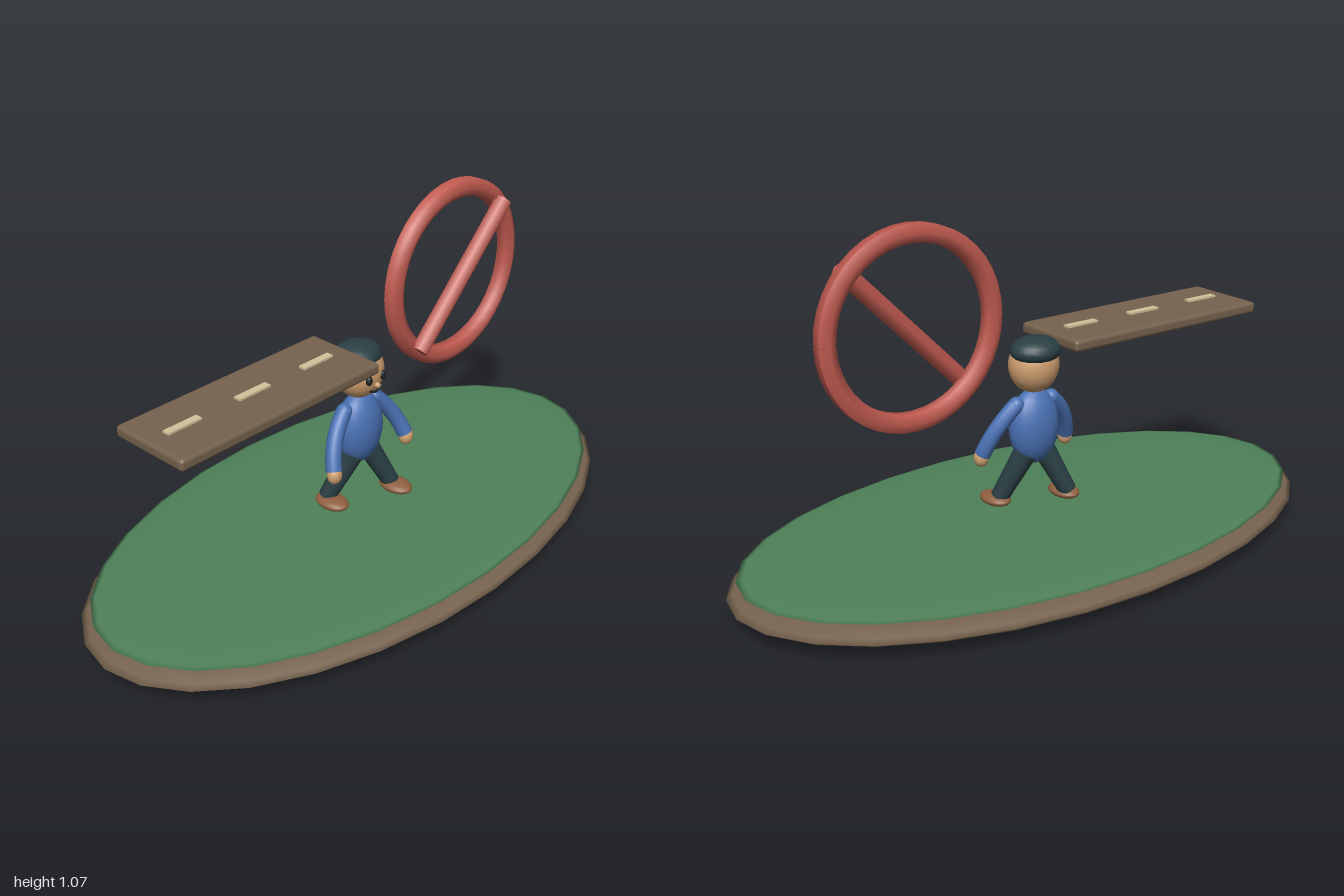
import * as THREE from 'three';
import { RoundedBoxGeometry } from 'three/addons/geometries/RoundedBoxGeometry.js';

const COLORS = {
  earth: 0x76624e, grass: 0x4f8159, line: 0xd2c39a, red: 0xc15b50, skin: 0xd0a070,
  shirt: 0x4a72b5, trousers: 0x2a3f44, shoe: 0x8f6040, dark: 0x1f2626,
};
const materials = {};
for (const key in COLORS) materials[key] = new THREE.MeshStandardMaterial({ color: COLORS[key] });
materials.red.side = THREE.DoubleSide;

const V = (x, y, z) => new THREE.Vector3(x, y, z);

function add(parent, name, geometry, color, x = 0, y = 0, z = 0) {
  const mesh = new THREE.Mesh(geometry, materials[color]);
  mesh.name = name;
  mesh.position.set(x, y, z);
  parent.add(mesh);
  return mesh;
}

function ellipsoid(rx, ry, rz, w = 20, h = 14) {
  return new THREE.SphereGeometry(1, w, h).scale(rx, ry, rz);
}

// Tapered limb running between two points
function limb(parent, name, a, b, rA, rB, color, sides = 12) {
  const geometry = new THREE.CylinderGeometry(rB, rA, a.distanceTo(b), sides);
  const mesh = add(parent, name, geometry, color);
  mesh.position.copy(a).lerp(b, 0.5);
  mesh.quaternion.setFromUnitVectors(V(0, 1, 0), b.clone().sub(a).normalize());
  return mesh;
}

function buildBase() {
  const g = new THREE.Group();
  g.name = 'base';
  add(g, 'earth', ellipsoid(1, 0.058, 0.545, 28, 16), 'earth', 0, 0.058);
  add(g, 'grass', ellipsoid(0.97, 0.017, 0.52, 28, 16), 'grass', 0, 0.105);
  return g;
}

function buildRoad() {
  const g = new THREE.Group();
  g.name = 'road';
  add(g, 'roadSlab', new RoundedBoxGeometry(0.74, 0.037, 0.27, 2, 0.012), 'earth', -0.425, 0.659);
  for (const x of [-0.677, -0.427, -0.18])
    add(g, 'laneDash', new THREE.BoxGeometry(0.115, 0.012, 0.024), 'line', x, 0.678);
  return g;
}

function buildSign() {
  const g = new THREE.Group();
  g.name = 'prohibitionSign';
  // Six-sided ring with a narrow seam on its left side
  const profile = [];
  for (let i = 0; i <= 6; i++) {
    const a = (i % 6) * Math.PI / 3;
    profile.push(new THREE.Vector2(0.271 + 0.031 * Math.cos(a), 0.031 * Math.sin(a)));
  }
  // Turn the hexagon so that its flats face outwards
  profile.forEach((p, i) => {
    const a = Math.PI / 6 * (2 * (i % 6) - 1);
    p.set(0.271 + 0.031 * Math.cos(a), 0.031 * Math.sin(a));
  });
  const ring = new THREE.LatheGeometry(profile, 40, Math.PI / 2 + 0.008, Math.PI * 2 - 0.016);
  add(g, 'ring', ring.rotateX(Math.PI / 2), 'red', 0.423, 0.769);
  limb(g, 'slash', V(0.232, 0.572, 0.036), V(0.62, 0.96, 0.036), 0.029, 0.029, 'red', 6);
  return g;
}

function buildPerson() {
  const g = new THREE.Group();
  g.name = 'person';
  add(g, 'torso', ellipsoid(0.085, 0.12, 0.06), 'shirt', 0, 0.392);
  add(g, 'head', ellipsoid(0.08, 0.085, 0.073), 'skin', 0, 0.585);
  add(g, 'cap', ellipsoid(0.081, 0.043, 0.071), 'dark', 0, 0.633, -0.009).material = materials.trousers;
  add(g, 'nose', ellipsoid(0.009, 0.009, 0.011, 10, 8), 'skin', 0, 0.56, 0.073);
  const smile = new THREE.QuadraticBezierCurve3(V(-0.026, 0.549, 0.066), V(0, 0.526, 0.071), V(0.026, 0.549, 0.066));
  add(g, 'mouth', new THREE.TubeGeometry(smile, 10, 0.004, 6), 'dark');

  for (const s of [1, -1]) {
    const side = s > 0 ? 'left' : 'right';
    add(g, side + 'Eye', ellipsoid(0.012, 0.015, 0.009, 12, 8), 'dark', s * 0.029, 0.582, 0.068);

    // Bent arm swung slightly forwards
    const arm = new THREE.QuadraticBezierCurve3(V(s * 0.065, 0.47, 0), V(s * 0.135, 0.41, 0.012), V(s * 0.158, 0.32, 0.046));
    add(g, side + 'Arm', new THREE.TubeGeometry(arm, 12, 0.025, 12), 'shirt');
    add(g, side + 'Shoulder', ellipsoid(0.025, 0.025, 0.025), 'shirt', s * 0.065, 0.47, 0);
    add(g, side + 'Hand', ellipsoid(0.024, 0.029, 0.022), 'skin', s * 0.16, 0.309, 0.05);

    // Striding legs: left foot ahead, right foot behind
    limb(g, side + 'Leg', V(s * 0.038, 0.315, s * -0.008), V(s * 0.1, 0.168, s * 0.042), 0.036, 0.028, 'trousers');
    add(g, side + 'Shoe', ellipsoid(0.041, 0.019, 0.06), 'shoe', s * 0.103, 0.159, 0.021 + s * 0.039);
  }
  return g;
}

export function createModel() {
  const model = new THREE.Group();
  model.name = 'pedestrianScene';
  model.add(buildBase(), buildRoad(), buildSign(), buildPerson());
  return model;
}
